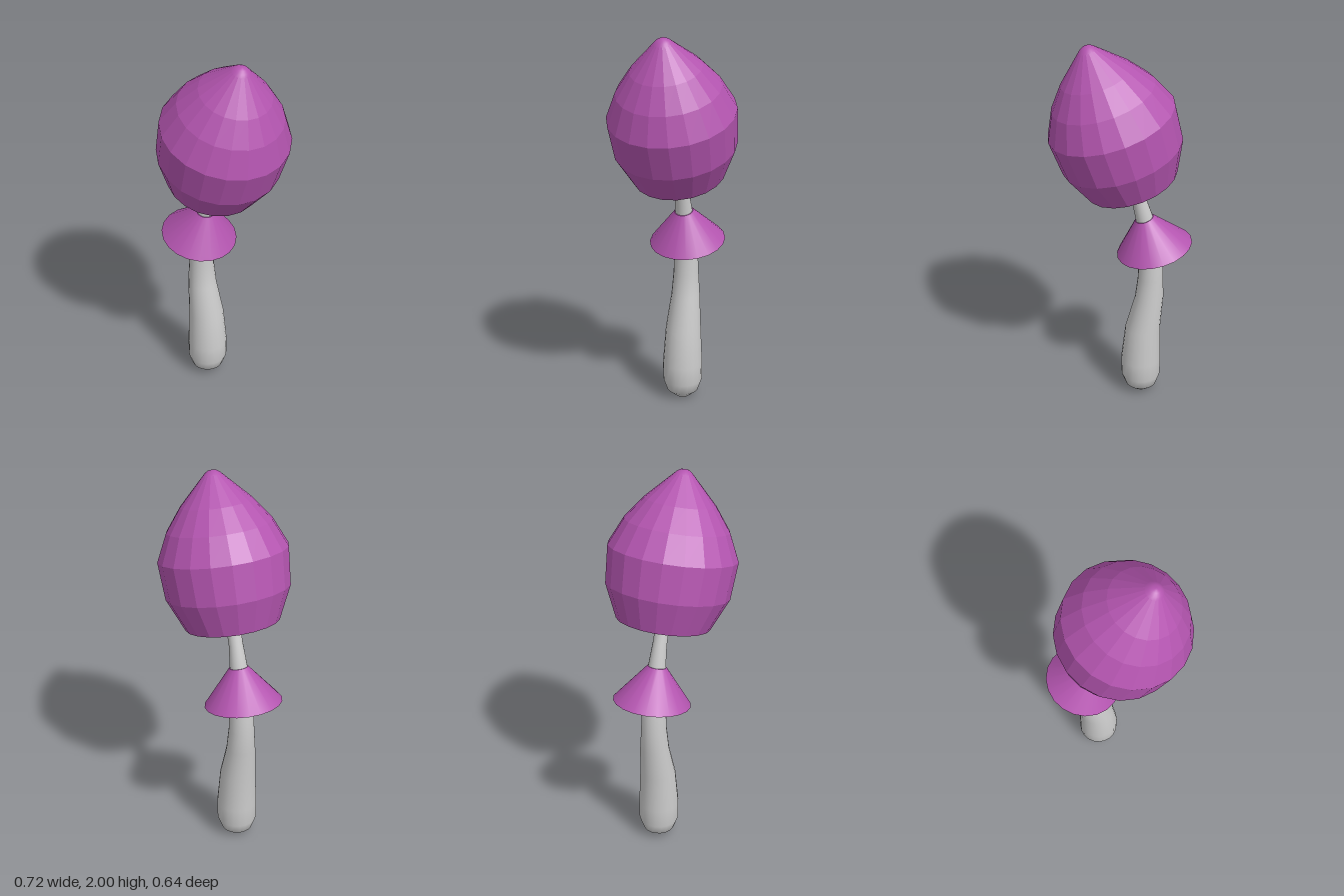
import * as THREE from 'three';

const SIDES = 20;

// Skin of circular rings [x, y, radius, tilt towards +x]; each end is closed with a flat disc
function loft(rings, closeBottom = true, closeTop = true) {
  const pos = [], idx = [];
  const addRing = ([x, y, r, tilt]) => {
    const start = pos.length / 3;
    for (let j = 0; j < SIDES; j++) {
      const a = (j / SIDES) * Math.PI * 2, c = r * Math.cos(a);
      pos.push(x + c * Math.cos(tilt), y - c * Math.sin(tilt), r * Math.sin(a));
    }
    return start;
  };
  const starts = rings.map(addRing);
  for (let i = 0; i < rings.length - 1; i++) {
    for (let j = 0; j < SIDES; j++) {
      const k = (j + 1) % SIDES;
      const a = starts[i] + j, b = starts[i] + k, c = starts[i + 1] + k, d = starts[i + 1] + j;
      idx.push(a, d, b, b, d, c);
    }
  }
  // Discs have their own vertices so that their rims stay sharp
  const disc = (ring, up) => {
    const s = addRing(ring), centre = pos.length / 3;
    pos.push(ring[0], ring[1], 0);
    for (let j = 0; j < SIDES; j++) {
      const k = (j + 1) % SIDES;
      idx.push(centre, s + (up ? k : j), s + (up ? j : k));
    }
  };
  if (closeBottom) disc(rings[0], false);
  if (closeTop) disc(rings[rings.length - 1], true);
  const g = new THREE.BufferGeometry();
  g.setAttribute('position', new THREE.Float32BufferAttribute(pos, 3));
  g.setIndex(idx);
  g.computeVertexNormals();
  return g;
}

export function createModel() {
  const model = new THREE.Group();
  const grey = new THREE.MeshStandardMaterial({ color: 0xcccccc });
  const purple = new THREE.MeshStandardMaterial({ color: 0xb455b0 });
  const purpleFlat = new THREE.MeshStandardMaterial({ color: 0xb455b0, flatShading: true });

  const add = (name, geometry, material, parent = model) => {
    const mesh = new THREE.Mesh(geometry, material);
    mesh.name = name;
    parent.add(mesh);
    return mesh;
  };

  // Bent stem, thick at the foot
  add('stem', loft([
    [-0.105, 0, 0.035, 0],
    [-0.105, 0.04, 0.083, 0],
    [-0.104, 0.1, 0.104, 0],
    [-0.103, 0.2, 0.105, 0.02],
    [-0.113, 0.4, 0.093, 0.06],
    [-0.146, 0.58, 0.075, 0.06],
    [-0.152, 0.7, 0.066, 0],
    [-0.151, 0.86, 0.06, 0.05],
    [-0.117, 1.05, 0.045, 0.26],
    [-0.085, 1.17, 0.036, 0.27],
    [-0.042, 1.3, 0.035, 0.3],
  ]), grey);

  // Skirt around the upper stem
  add('skirt', loft([
    [-0.17, 0.878, 0.197, 0.22],
    [-0.115, 1.055, 0.048, 0.3],
  ]), purple);

  // Leaning cap: faceted body with a smooth rounded tip
  const cap = new THREE.Group();
  cap.name = 'cap';
  cap.position.set(-0.05, 1.275, 0);
  cap.rotation.z = -0.297;
  model.add(cap);
  const profile = (points) => points.map(([r, h]) => [0, h, r, 0]);
  add('capBody', loft(profile([
    [0.235, 0], [0.309, 0.168], [0.322, 0.356], [0.26, 0.489], [0.177, 0.6], [0.046, 0.734],
  ]), true, false), purpleFlat, cap);
  add('capTip', loft(profile([
    [0.046, 0.734], [0.035, 0.745], [0.02, 0.754], [0.003, 0.757],
  ]), false, true), purple, cap);

  return model;
}
